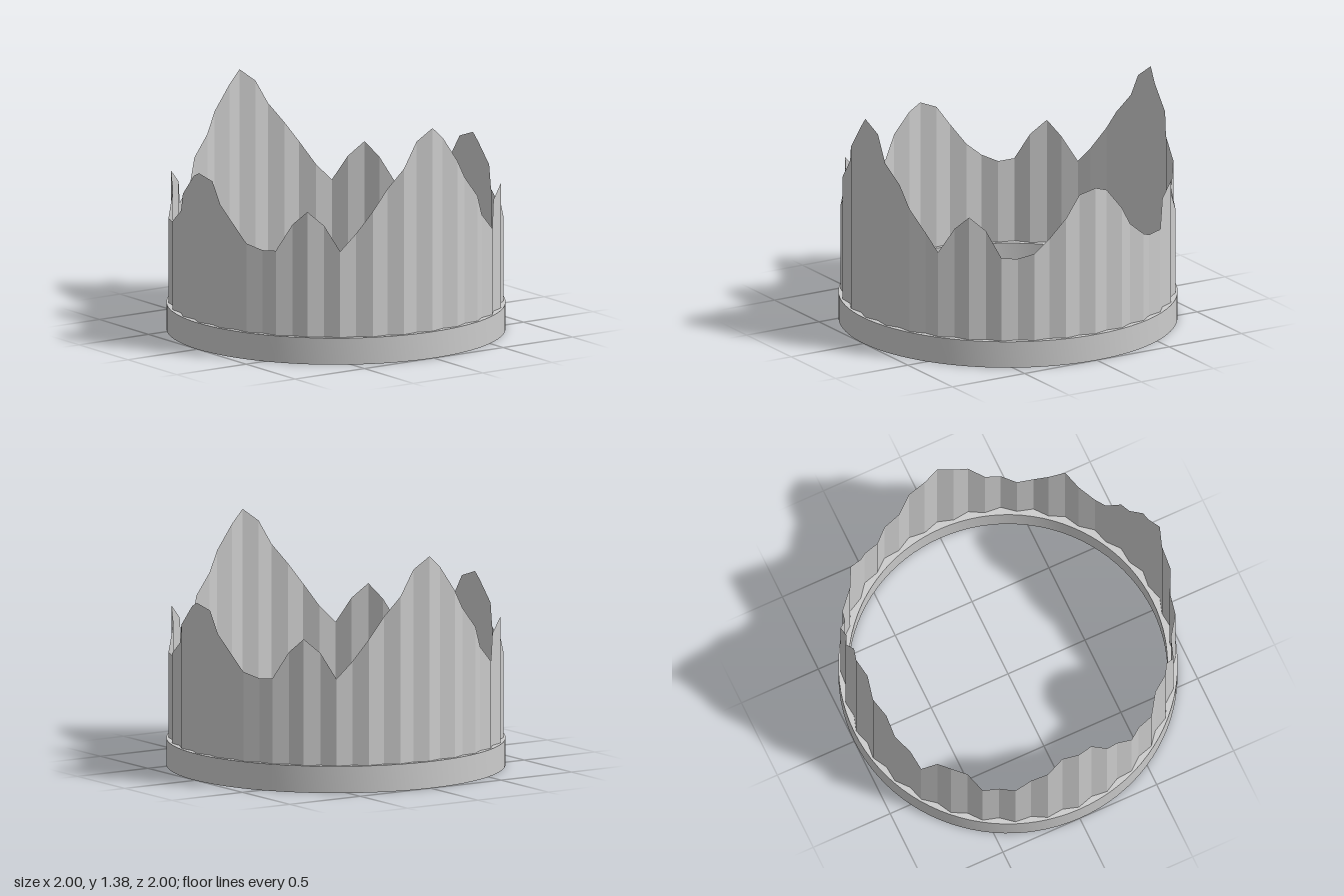
import * as THREE from 'three';
import { toCreasedNormals } from 'three/addons/utils/BufferGeometryUtils.js';

const SEGMENTS = 64;
const BAND_HEIGHT = 0.16;

// Height of the wall's rim over a quarter turn, from the front peak to the side peak
const RIM = [1.06, 1.025, 0.9, 0.775, 0.695, 0.66, 0.67, 0.83, 0.915,
  0.83, 0.68, 0.78, 0.915, 1.04, 1.16, 1.31, 1.385];

function createBand(material) {
  const profile = [[0.94, 0], [1, 0], [1, BAND_HEIGHT], [0.94, BAND_HEIGHT], [0.94, 0]]
    .map(([r, y]) => new THREE.Vector2(r, y));
  const geometry = toCreasedNormals(new THREE.LatheGeometry(profile, 96), 0.5);
  const band = new THREE.Mesh(geometry, material);
  band.name = 'baseBand';
  return band;
}

// Thin pleated wall: ridges and valleys alternate, the rim is mirrored in each quarter
function createWall(material) {
  const positions = [];
  const indices = [];
  for (let i = 0; i < SEGMENTS; i++) {
    const angle = (i / SEGMENTS) * Math.PI * 2;
    const radius = i % 2 ? 0.962 : 0.987;
    const step = i % 32;
    const top = RIM[Math.min(step, 32 - step)];
    const x = Math.sin(angle) * radius;
    const z = Math.cos(angle) * radius;
    positions.push(x, BAND_HEIGHT, z, x, top, z);

    const a = i * 2;
    const b = ((i + 1) % SEGMENTS) * 2;
    indices.push(a, b, b + 1, a, b + 1, a + 1);
  }
  const geometry = new THREE.BufferGeometry();
  geometry.setAttribute('position', new THREE.Float32BufferAttribute(positions, 3));
  geometry.setIndex(indices);
  geometry.computeVertexNormals();
  const wall = new THREE.Mesh(geometry, material);
  wall.name = 'pleatedWall';
  return wall;
}

export function createModel() {
  const group = new THREE.Group();
  group.name = 'crown';
  group.add(
    createBand(new THREE.MeshStandardMaterial({ color: 0xcccccc })),
    createWall(new THREE.MeshStandardMaterial({
      color: 0xcccccc, flatShading: true, side: THREE.DoubleSide,
    })),
  );
  return group;
}
